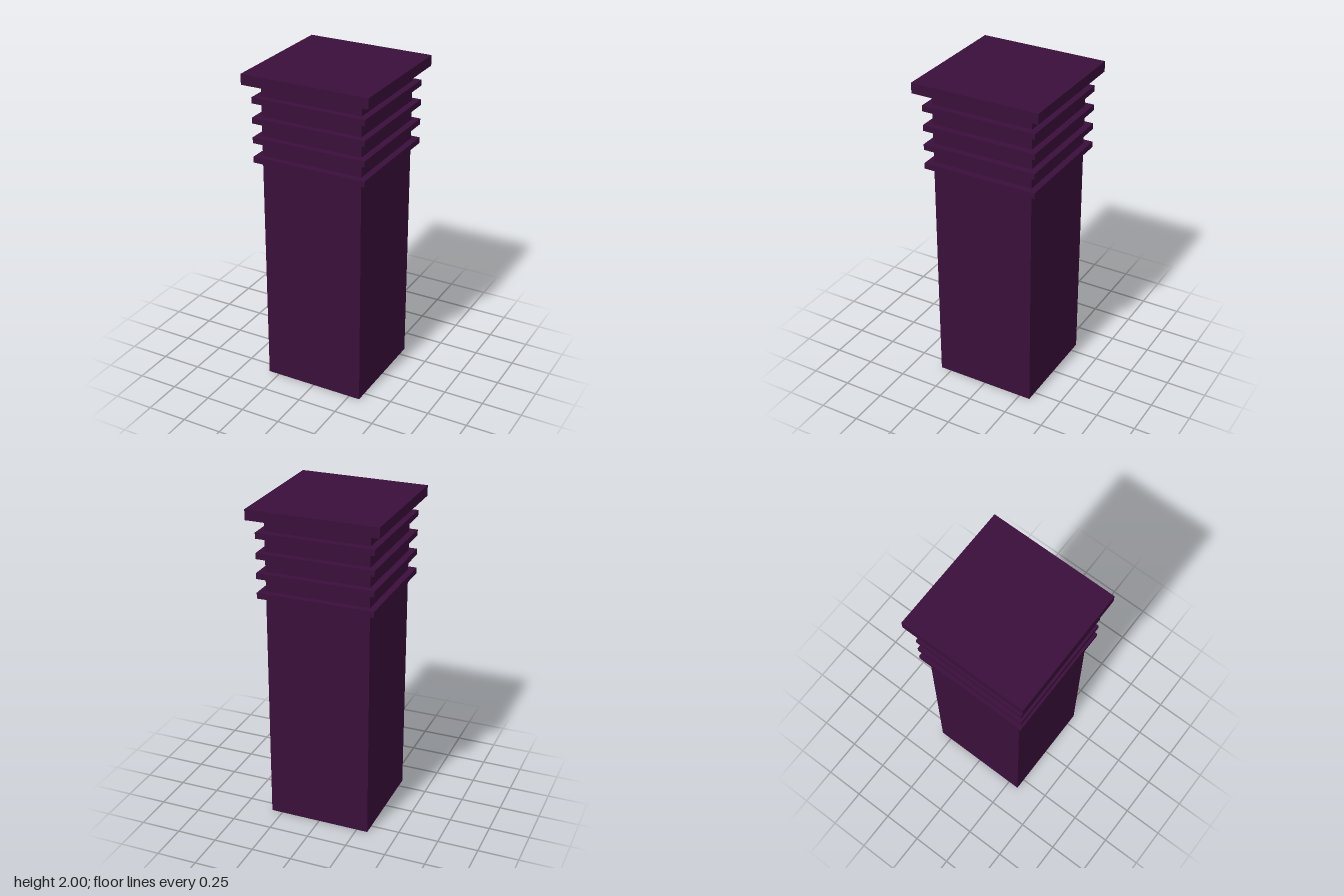
import * as THREE from 'three';

const SHAFT = 0.32, RING = 0.36, CAP = 0.4; // half widths
const RING_HEIGHT = 0.036;
const RING_BOTTOMS = [1.455, 1.576, 1.697, 1.819];
const CAP_BOTTOM = 1.936, TOP = 2;

const material = new THREE.MeshStandardMaterial({
  color: 0x3b0f3b, flatShading: true, side: THREE.DoubleSide,
});

// Square shell: a profile of [half width, height] swept round four sides
function squareShell(name, profile) {
  const points = profile.map(([half, y]) => new THREE.Vector2(half * Math.SQRT2, y));
  const geometry = new THREE.LatheGeometry(points, 4, Math.PI / 4).toNonIndexed();
  geometry.computeVertexNormals();
  const mesh = new THREE.Mesh(geometry, material);
  mesh.name = name;
  return mesh;
}

export function createModel() {
  const model = new THREE.Group();
  model.name = 'pillar';

  // Hollow shaft, open at the bottom
  model.add(squareShell('shaft', [[SHAFT, 0], [SHAFT, RING_BOTTOMS[0]]]));

  // Projecting rings, each with the neck above it
  RING_BOTTOMS.forEach((bottom, i) => {
    const top = bottom + RING_HEIGHT;
    const next = RING_BOTTOMS[i + 1] ?? CAP_BOTTOM;
    model.add(squareShell('ring' + (i + 1), [
      [SHAFT, bottom], [RING, bottom], [RING, top], [SHAFT, top],
    ]));
    model.add(squareShell('neck' + (i + 1), [[SHAFT, top], [SHAFT, next]]));
  });

  // Wide flat cap closing the top
  model.add(squareShell('cap', [
    [SHAFT, CAP_BOTTOM], [CAP, CAP_BOTTOM], [CAP, TOP], [0, TOP],
  ]));

  return model;
}
